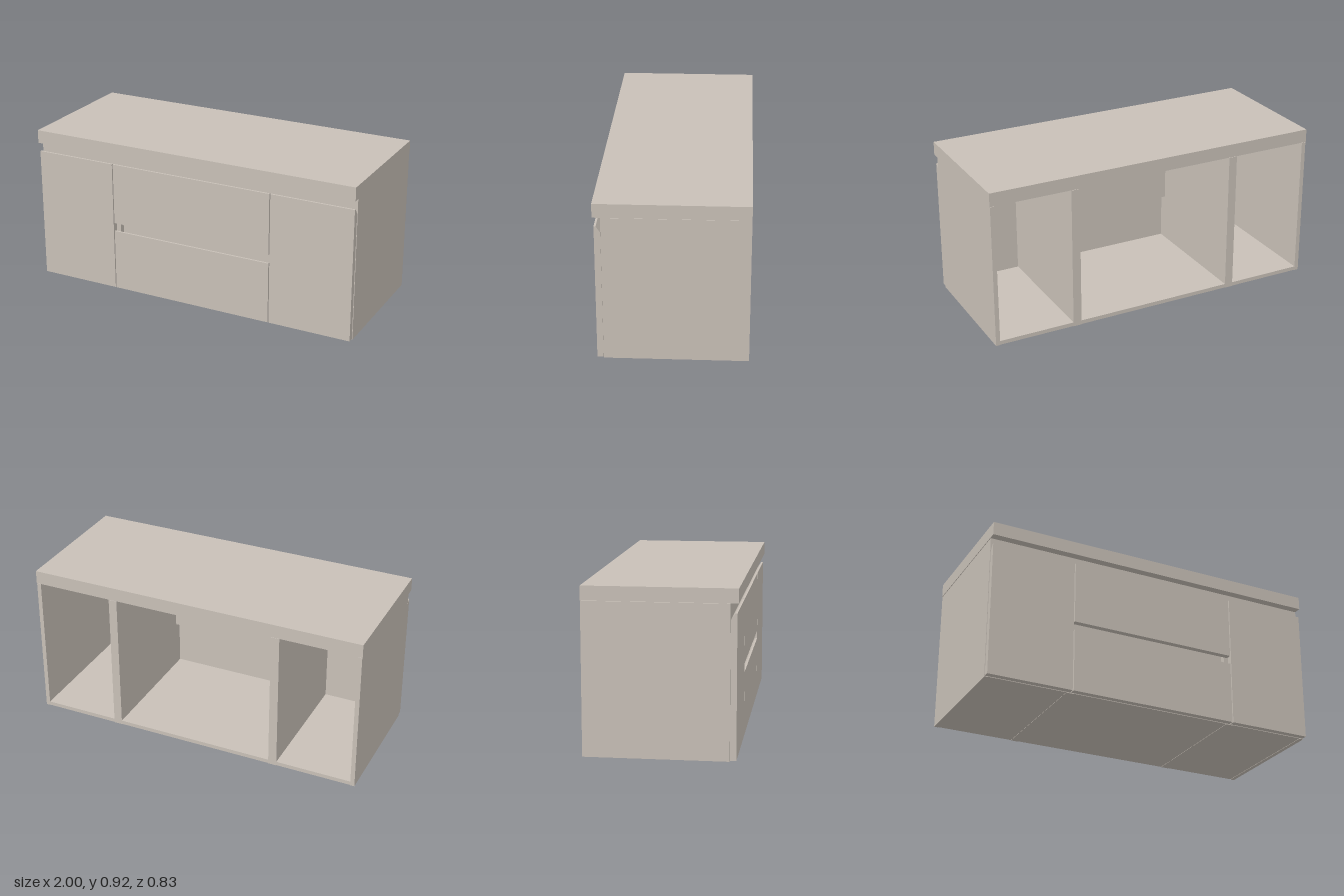
import * as THREE from 'three';

export function createModel() {
  const cabinet = new THREE.Group();
  cabinet.name = 'cabinet';
  const greige = new THREE.MeshStandardMaterial({ color: 0xc8c0b7 });
  greige.name = 'warm grey laminate';

  const BACK = -0.413, FACE = 0.37, TOP = 0.836, T = 0.025;

  // Box given by its lower and upper limits on each axis
  function panel(name, x0, x1, y0, y1, z0, z1, parent = cabinet) {
    const mesh = new THREE.Mesh(new THREE.BoxGeometry(x1 - x0, y1 - y0, z1 - z0), greige);
    mesh.position.set((x0 + x1) / 2, (y0 + y1) / 2, (z0 + z1) / 2);
    mesh.name = name;
    parent.add(mesh);
  }

  // [z, y] profile run along x
  function profile(name, points, x0, x1) {
    const shape = new THREE.Shape(points.map(([z, y]) => new THREE.Vector2(-z, y)));
    const geometry = new THREE.ExtrudeGeometry(shape, { depth: x1 - x0, bevelEnabled: false });
    geometry.rotateY(Math.PI / 2);
    const mesh = new THREE.Mesh(geometry, greige);
    mesh.scale.z = 1;
    mesh.position.x = x0;
    // the quarter turn sends the shape's x to -z, so the profile keeps its own z
    mesh.name = name;
    cabinet.add(mesh);
  }

  // Front panel whose top edge is bevelled behind as a finger grip
  function front(name, x0, x1, y0, y1) {
    profile(name, [
      [FACE + 0.001, y0], [0.405, y0], [0.405, y1], [0.394, y1], [FACE + 0.001, y1 - 0.034],
    ], x0 + 0.003, x1 - 0.003);
  }

  // Three open-backed carcasses side by side
  const bays = [['right', -0.998, -0.5], ['middle', -0.5, 0.5], ['left', 0.5, 0.998]];
  for (const [side, x0, x1] of bays) {
    const bay = new THREE.Group();
    bay.name = side + 'Carcass';
    cabinet.add(bay);
    panel('sidePanel', x0, x0 + T, 0, TOP, BACK, FACE, bay);
    panel('sidePanel', x1 - T, x1, 0, TOP, BACK, FACE, bay);
    panel('floorPanel', x0 + T, x1 - T, 0.002, T, BACK, FACE, bay);
    panel('topRail', x0 + T, x1 - T, 0.745, TOP, 0.345, FACE, bay);
  }

  // Recessed grip channel between the drawers
  profile('gripChannel', [
    [0.325, 0.305], [FACE, 0.305], [FACE, 0.325], [0.34, 0.325],
    [0.34, 0.465], [FACE, 0.465], [FACE, 0.485], [0.325, 0.485],
  ], -0.5 + T, 0.5 - T);

  // Doors and drawer fronts
  front('rightDoor', -0.998, -0.5, 0.005, 0.785);
  front('leftDoor', 0.5, 0.998, 0.005, 0.785);
  front('lowerDrawerFront', -0.5, 0.5, 0.005, 0.37);
  front('upperDrawerFront', -0.5, 0.5, 0.42, 0.785);

  // Countertop
  panel('countertop', -1, 1, 0.838, 0.916, BACK, 0.413);

  return cabinet;
}
